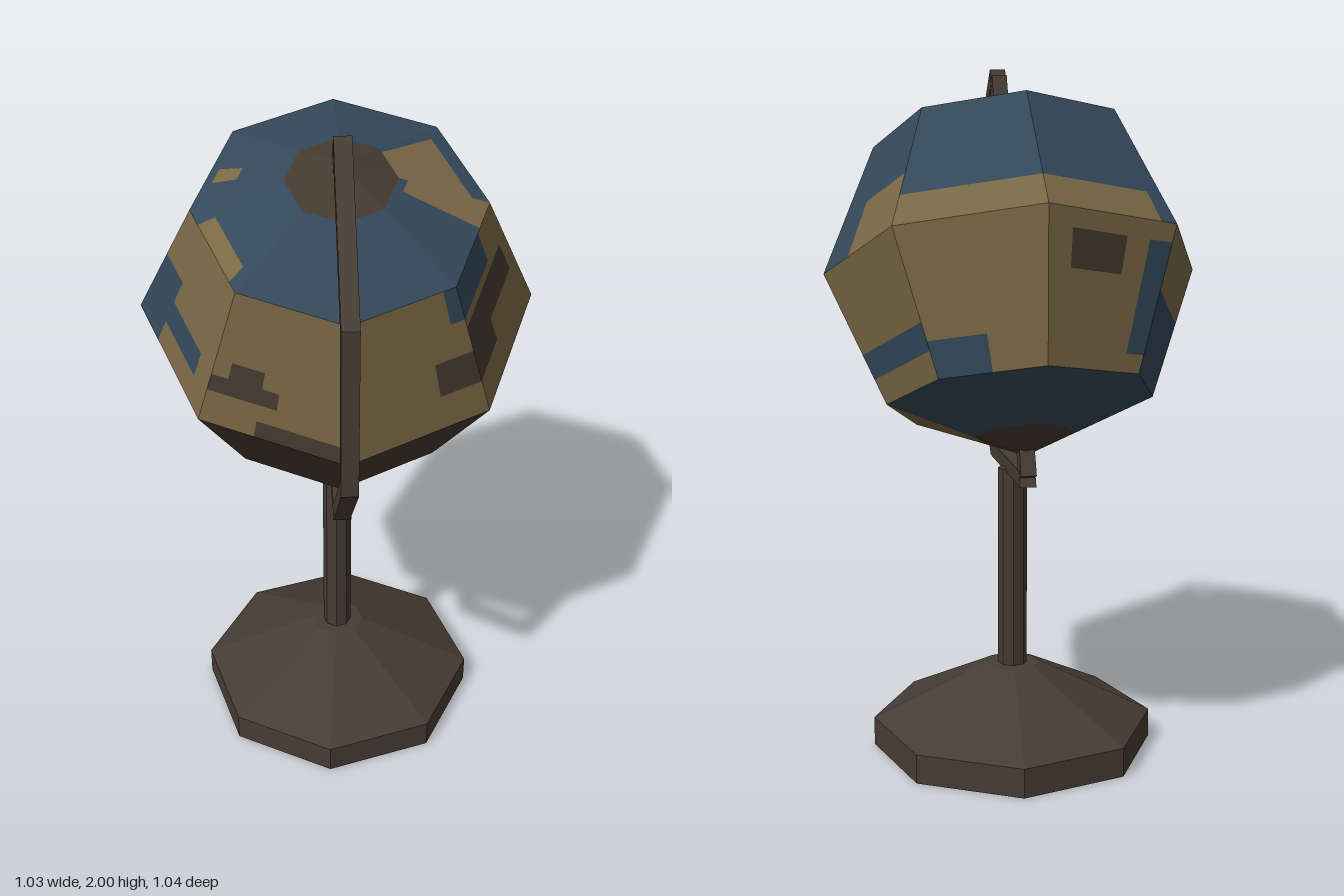
import * as THREE from 'three';

const R = 0.539, CENTRE_Y = 1.418, N = 16;
const COLS = 8, ROWS = 4;

const flat = (name, color, side = THREE.FrontSide) =>
  Object.assign(new THREE.MeshStandardMaterial({ color, flatShading: true, side }), { name });

// Main colour of each facet, row by row from the north pole
const FACETS = ['ssssssss', 'llssssll', 'mlslllsm', 'ssssssls'];
const NAMES = { s: 'sea', l: 'land', m: 'mountain' };

// Patches over the facets as [colour, u0, u1, v0, v1]: u counts columns, v counts rows
const PATCHES = [
  // northern cap
  ['l', 5.1, 6, 0.35, 0.85], ['l', 6, 6.3, 0.45, 1], ['l', 2.3, 2.5, 0.76, 0.93], ['l', 1.1, 1.8, 0.88, 1],
  // upper band
  ['s', 1.66, 2, 1.42, 2], ['s', 1.2, 1.7, 1.6, 1.8], ['s', 6.35, 7.1, 1, 1.22],
  ['l', 5, 5.65, 1.56, 2], ['l', 3.1, 5, 1.72, 2],
  ['m', 0.47, 1, 1.62, 1.78], ['m', 0.65, 0.88, 1.5, 1.64], ['m', 0, 0.6, 1.87, 2],
  ['m', 6.12, 7, 1.3, 1.54], ['m', 6.62, 7.3, 1.52, 1.74],
  // lower band
  ['s', 1.5, 2, 2.66, 3], ['s', 1, 1.5, 2.88, 3], ['m', 1, 1.25, 2.06, 2.2], ['l', 2, 3, 2, 2.45],
  ['s', 3, 3.2, 2.1, 2.9], ['m', 3.4, 3.8, 2.15, 2.4], ['s', 4.5, 5, 2.78, 3],
  ['s', 5, 6, 2.6, 2.84], ['l', 6, 7, 2.68, 3],
];

function colourAt(u, v) {
  if (Math.abs(v - 2) > 1.62) return NAMES.m; // polar discs
  let colour = FACETS[Math.floor(v)][Math.floor(u)];
  for (const [c, u0, u1, v0, v1] of PATCHES) {
    if (u > u0 && u < u1 && v > v0 && v < v1) colour = c;
  }
  return NAMES[colour];
}

// Corner of the faceted sphere
function corner(col, row) {
  const a = (col / COLS) * Math.PI * 2, p = (row / ROWS) * Math.PI;
  return new THREE.Vector3(Math.sin(p) * Math.cos(a), Math.cos(p), Math.sin(p) * Math.sin(a)).multiplyScalar(R);
}

// Flat facets split into small cells, sorted into one surface per map colour
function buildMap(materials) {
  const points = { sea: [], land: [], mountain: [] };
  for (let row = 0; row < ROWS; row++) {
    for (let col = 0; col < COLS; col++) {
      const a = corner(col, row), b = corner(col + 1, row);
      const c = corner(col, row + 1), d = corner(col + 1, row + 1);
      const at = (i, j) => a.clone().lerp(b, i / N).lerp(c.clone().lerp(d, i / N), j / N);
      for (let i = 0; i < N; i++) {
        for (let j = 0; j < N; j++) {
          const ul = at(i + 1, j), ll = at(i + 1, j + 1), lr = at(i, j + 1), ur = at(i, j);
          const list = points[colourAt(col + (i + 0.5) / N, row + (j + 0.5) / N)];
          for (const p of [ul, ll, lr, ul, lr, ur]) list.push(p.x, p.y, p.z);
        }
      }
    }
  }
  return Object.entries(points).map(([name, list]) => {
    const geometry = new THREE.BufferGeometry();
    geometry.setAttribute('position', new THREE.Float32BufferAttribute(list, 3));
    geometry.computeVertexNormals();
    const mesh = new THREE.Mesh(geometry, materials[name]);
    mesh.name = name;
    return mesh;
  });
}

export function createModel() {
  const model = new THREE.Group();
  const frame = flat('dark wood', 0x463c33, THREE.DoubleSide);
  const materials = {
    sea: flat('sea blue', 0x33485a),
    land: flat('land tan', 0x7a6845),
    mountain: flat('mountain brown', 0x453a30),
  };
  const add = (parent, name, geometry) => {
    const mesh = new THREE.Mesh(geometry, frame);
    mesh.name = name;
    parent.add(mesh);
    return mesh;
  };

  // Hollow eight-sided foot and column
  const profile = [[0.416, 0], [0.416, 0.085], [0.08, 0.25], [0, 0.25]].map(([x, y]) => new THREE.Vector2(x, y));
  add(model, 'base', new THREE.LatheGeometry(profile, 8));
  add(model, 'column', new THREE.CylinderGeometry(0.043, 0.043, 0.6, 8)).position.y = 0.545;

  // Tilted assembly: globe, meridian arm and pivots share the same axis
  const tilted = new THREE.Group();
  tilted.name = 'tiltedAssembly';
  tilted.position.y = CENTRE_Y;
  tilted.rotation.set(0, THREE.MathUtils.degToRad(-39), -Math.PI / 8, 'YXZ');
  model.add(tilted);

  const globe = new THREE.Group();
  globe.name = 'globe';
  globe.add(...buildMap(materials));
  tilted.add(globe);

  // Half-octagon arm running from pole to pole
  const arc = (r) => Array.from({ length: 5 }, (_, i) =>
    new THREE.Vector2(r * Math.sin(i * Math.PI / 4), r * Math.cos(i * Math.PI / 4)));
  const armShape = new THREE.Shape([...arc(0.63), ...arc(0.582).reverse()]);
  const arm = new THREE.ExtrudeGeometry(armShape, { depth: 0.046, bevelEnabled: false });
  add(tilted, 'meridianArm', arm.translate(0, 0, -0.023));

  // Pivots at both poles
  for (const s of [1, -1]) {
    add(tilted, s > 0 ? 'northPivot' : 'southPivot', new THREE.BoxGeometry(0.044, 0.09, 0.044)).position.y = s * 0.557;
  }
  return model;
}
